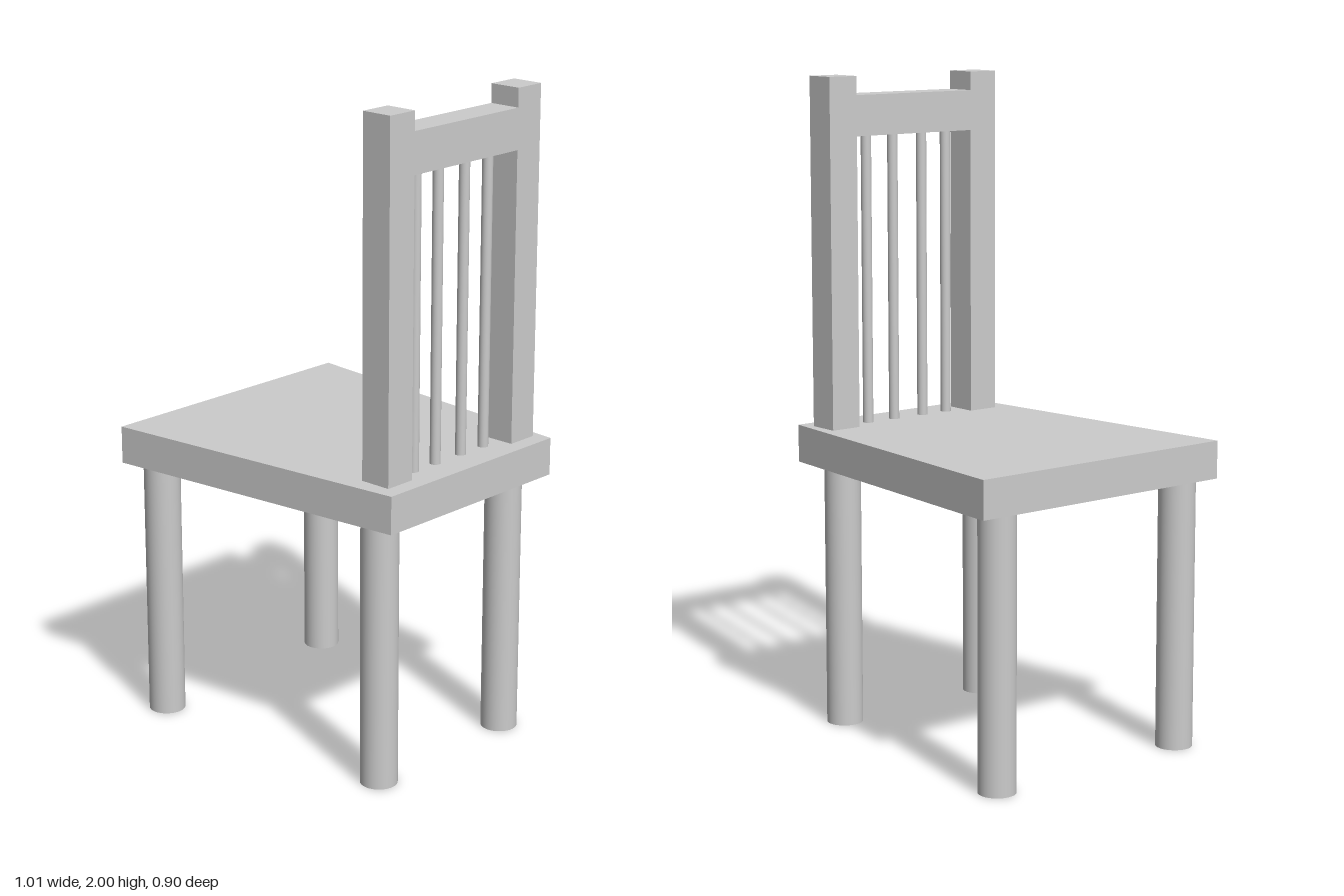
import * as THREE from 'three';

const material = new THREE.MeshStandardMaterial({ color: 0xcccccc });

function add(group, name, geometry, x, y, z) {
  const mesh = new THREE.Mesh(geometry, material);
  mesh.name = name;
  mesh.position.set(x, y, z);
  group.add(mesh);
}

export function createModel() {
  const chair = new THREE.Group();
  chair.name = 'chair';
  const seatBottom = 0.82, seatTop = 0.935, backX = 0.405;

  // Trapezoid seat, narrowing towards the backrest
  const outline = new THREE.Shape([
    new THREE.Vector2(-0.505, -0.452), new THREE.Vector2(0.505, -0.352),
    new THREE.Vector2(0.505, 0.352), new THREE.Vector2(-0.505, 0.452),
  ]);
  const seat = new THREE.ExtrudeGeometry(outline, { depth: seatTop - seatBottom, bevelEnabled: false });
  seat.rotateX(-Math.PI / 2);
  add(chair, 'seat', seat, 0, seatBottom, 0);

  // Round legs
  const leg = new THREE.CylinderGeometry(0.056, 0.056, seatBottom, 32);
  for (const [name, x, z] of [
    ['wideEndLegLeft', -0.44, 0.35], ['wideEndLegRight', -0.44, -0.348],
    ['backrestLegLeft', 0.4, 0.284], ['backrestLegRight', 0.4, -0.263],
  ]) add(chair, name, leg, x, seatBottom / 2, z);

  // Backrest: two posts, top rail and four spindles
  const backrest = new THREE.Group();
  backrest.name = 'backrest';
  chair.add(backrest);

  const post = new THREE.BoxGeometry(0.1, 2 - seatTop, 0.1);
  for (const z of [0.26, -0.28]) add(backrest, 'backPost', post, backX, (2 + seatTop) / 2, z);

  const railBottom = 1.82, railTop = 1.943;
  add(backrest, 'topRail', new THREE.BoxGeometry(0.1, railTop - railBottom, 0.44),
    backX, (railBottom + railTop) / 2, -0.01);

  const spindle = new THREE.CylinderGeometry(0.016, 0.016, railBottom - seatTop, 24);
  for (const z of [0.148, 0.054, -0.058, -0.159])
    add(backrest, 'spindle', spindle, backX, (railBottom + seatTop) / 2, z);

  return chair;
}
